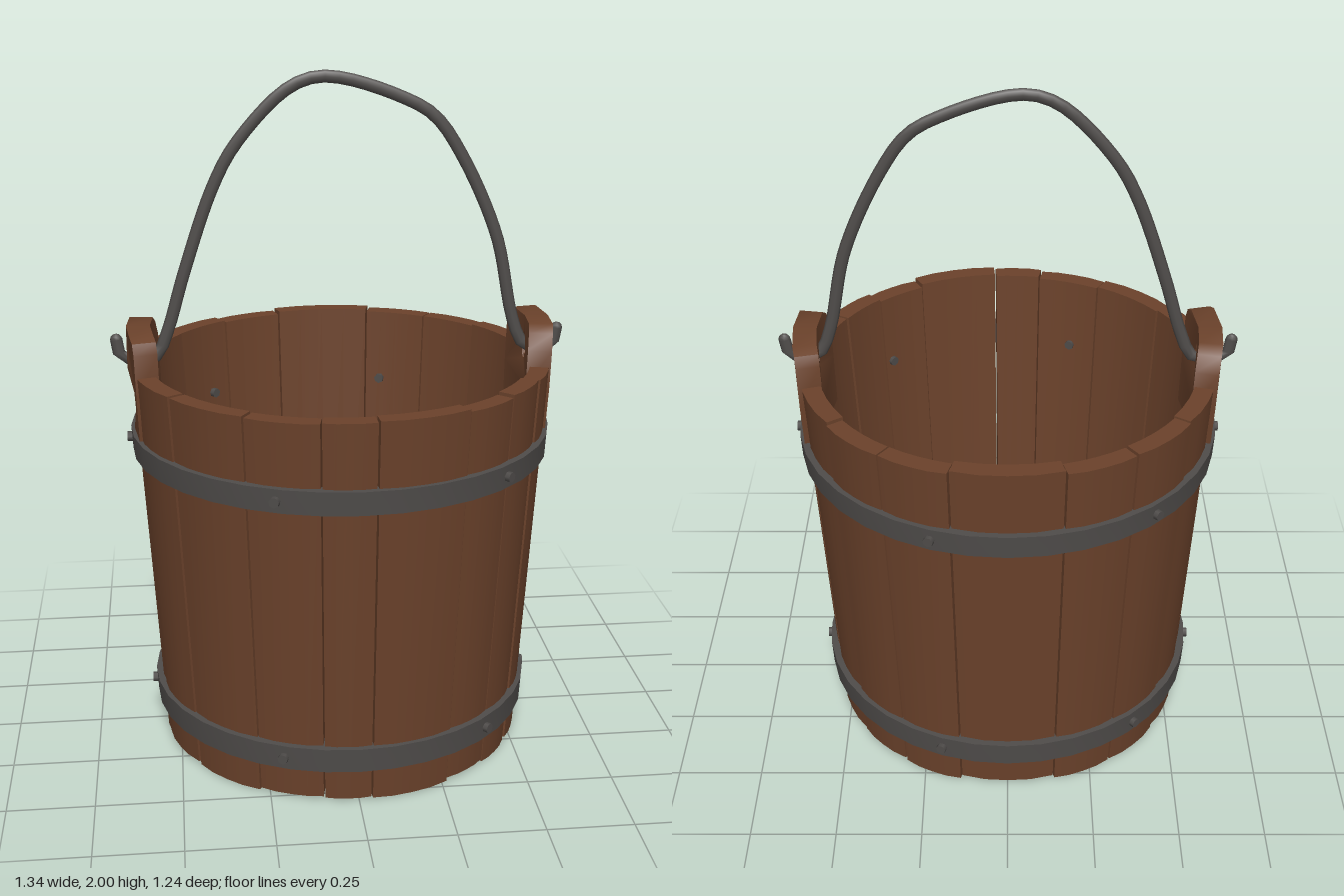
import * as THREE from 'three';
import { toCreasedNormals } from 'three/addons/utils/BufferGeometryUtils.js';

const wood = new THREE.MeshStandardMaterial({ color: 0x6b422b });
wood.name = 'brown wood';
const iron = new THREE.MeshStandardMaterial({ color: 0x4f4c4a });
iron.name = 'dark iron';

const THICK = 0.055;
const wallRadius = (y) => 0.543 + 0.06 * y; // outer radius of the tapered wall
const rad = THREE.MathUtils.degToRad;

function add(parent, name, geometry, material) {
  const mesh = new THREE.Mesh(geometry, material);
  mesh.name = name;
  parent.add(mesh);
  return mesh;
}

// Move every vertex of a geometry by a rule
function warp(geometry, rule) {
  const p = geometry.attributes.position;
  for (let i = 0; i < p.count; i++) {
    p.setXYZ(i, ...rule(p.getX(i), p.getY(i), p.getZ(i)));
  }
  geometry.computeVertexNormals();
  return geometry;
}

// One curved stave between two angles (0 = front, 90 = left side)
function staveGeometry(a0, a1, y0, y1, shift) {
  const gap = 0.25;
  return warp(new THREE.BoxGeometry(1, 1, 1, 4, 1, 1), (x, y, z) => {
    const a = rad(THREE.MathUtils.lerp(a0 + gap, a1 - gap, x + 0.5));
    const h = THREE.MathUtils.lerp(y0, y1, y + 0.5);
    const edge = Math.abs(x) > 0.49 && z > 0 ? 0.004 : 0; // eased long edges
    const r = wallRadius(h) + shift - edge - (z > 0 ? 0 : THICK);
    return [r * Math.sin(a), h, r * Math.cos(a)];
  });
}

// Raised lug with a hole for the handle, bent to the wall
function earGeometry() {
  const s = new THREE.Shape();
  [[-0.15, 0.95], [0, 0.95], [0.15, 0.95], [0.165, 1.1], [0.165, 1.23], [0.15, 1.262], [0.115, 1.275],
    [0, 1.275], [-0.1, 1.275], [-0.135, 1.255], [-0.165, 1.21], [-0.165, 1.1]]
    .forEach(([x, y], i) => (i ? s.lineTo(x, y) : s.moveTo(x, y)));
  const hole = new THREE.Path();
  hole.absellipse(0, 1.185, 0.026, 0.04, 0, Math.PI * 2, true);
  s.holes.push(hole);
  const g = new THREE.ExtrudeGeometry(s, { depth: 1, bevelEnabled: false, curveSegments: 6 });
  warp(g, (x, y, z) => {
    const r = wallRadius(Math.min(y, 1.16)) + 0.01 - (1 - z) * (THICK + 0.014);
    return [r * Math.sin(x / 0.6), y, r * Math.cos(x / 0.6)];
  });
  return toCreasedNormals(g, rad(35));
}

// Flat iron band with a rectangular section
function hoopGeometry(y0, y1, inner) {
  const o0 = wallRadius(y0) + 0.018, o1 = wallRadius(y1) + 0.018;
  const profile = [[inner, y0], [o0, y0], [o1, y1], [inner, y1], [inner, y0]]
    .map(([x, y]) => new THREE.Vector2(x, y));
  return toCreasedNormals(new THREE.LatheGeometry(profile, 36), rad(35));
}

// Floor plank: a slice of a disc between two x positions
function plankGeometry(x0, x1, radius, depth) {
  const s = new THREE.Shape();
  const n = 10;
  for (let i = 0; i <= 2 * n + 1; i++) {
    const lower = i <= n;
    const t = lower ? i / n : (2 * n + 1 - i) / n;
    const x = THREE.MathUtils.lerp(x0, x1, t);
    const z = Math.sqrt(Math.max(0, radius * radius - x * x)) * (lower ? -1 : 1);
    if (i) s.lineTo(x, z); else s.moveTo(x, z);
  }
  const g = new THREE.ExtrudeGeometry(s, { depth, bevelEnabled: false });
  g.rotateX(-Math.PI / 2);
  return g;
}

export function createModel() {
  const bucket = new THREE.Group();
  bucket.name = 'bucket';

  // Staves of uneven width
  const staves = new THREE.Group();
  staves.name = 'staves';
  bucket.add(staves);
  const seams = [-10.5, 4, 29.4, 46, 62, 79.5, 101, 125, 145, 165, 195, 215, 236, 259, 281, 304, 329, 349.5];
  for (let i = 0; i < seams.length - 1; i++) {
    const top = 1.16 + 0.005 * Math.sin(i * 2.3);
    const bottom = 0.006 + 0.005 * Math.sin(i * 3.7);
    add(staves, 'stave', staveGeometry(seams[i], seams[i + 1], bottom, top, 0.003 * Math.sin(i * 1.9)), wood);
  }

  // Handle lugs on both sides
  for (const side of [1, -1]) {
    add(bucket, side > 0 ? 'leftEar' : 'rightEar', earGeometry(), wood).rotation.y = side * Math.PI / 2;
  }

  // Floor planks, set a little above the rim
  const floor = new THREE.Group();
  floor.name = 'floor';
  bucket.add(floor);
  const cuts = [-0.5, -0.3, -0.1, 0.1, 0.31, 0.5];
  for (let i = 0; i < cuts.length - 1; i++) {
    const plank = add(floor, 'floorPlank', plankGeometry(cuts[i] + 0.0015, cuts[i + 1] - 0.0015, 0.5, 0.05), wood);
    plank.position.y = 0.04 + 0.002 * (i % 2);
  }

  // Iron hoops and the rivets driven through the wall
  const rivetAngles = [43, 90, 160, 222, 270, 338];
  for (const [name, y0, y1, inner] of [['lowerHoop', 0.105, 0.178, 0.487], ['upperHoop', 0.903, 0.972, 0.58]]) {
    add(bucket, name, hoopGeometry(y0, y1, inner), iron);
    const y = (y0 + y1) / 2;
    const r0 = wallRadius(y) - THICK - 0.013, r1 = wallRadius(y) + 0.032;
    for (const angle of rivetAngles) {
      const g = new THREE.CylinderGeometry(0.015, 0.015, r1 - r0, 7);
      g.rotateX(Math.PI / 2);
      g.translate(0, y, (r0 + r1) / 2);
      add(bucket, 'rivet', g, iron).rotation.y = rad(angle);
    }
  }

  // Hand-bent handle with hooked ends
  const path = [[-0.652, 1.235], [-0.64, 1.185], [-0.6, 1.172], [-0.54, 1.18], [-0.505, 1.25], [-0.45, 1.43],
    [-0.365, 1.67], [-0.3, 1.79], [-0.16, 1.94], [-0.08, 1.978], [0, 1.978], [0.17, 1.925], [0.27, 1.87],
    [0.35, 1.76], [0.46, 1.52], [0.515, 1.27], [0.55, 1.19], [0.6, 1.172], [0.635, 1.18], [0.65, 1.235]];
  const curve = new THREE.CatmullRomCurve3(path.map(([x, y]) => new THREE.Vector3(x, y, 0)));
  const handle = new THREE.TubeGeometry(curve, 60, 0.018, 8);
  handle.scale(1, 1, 0.67);
  add(bucket, 'handle', handle, iron);

  // Closed tips of the handle hooks
  for (const [x, y] of [path[0], path[path.length - 1]]) {
    const tip = add(bucket, 'handleTip', new THREE.SphereGeometry(0.018, 8, 6), iron);
    tip.position.set(x, y, 0);
    tip.scale.z = 0.67;
  }
  return bucket;
}
